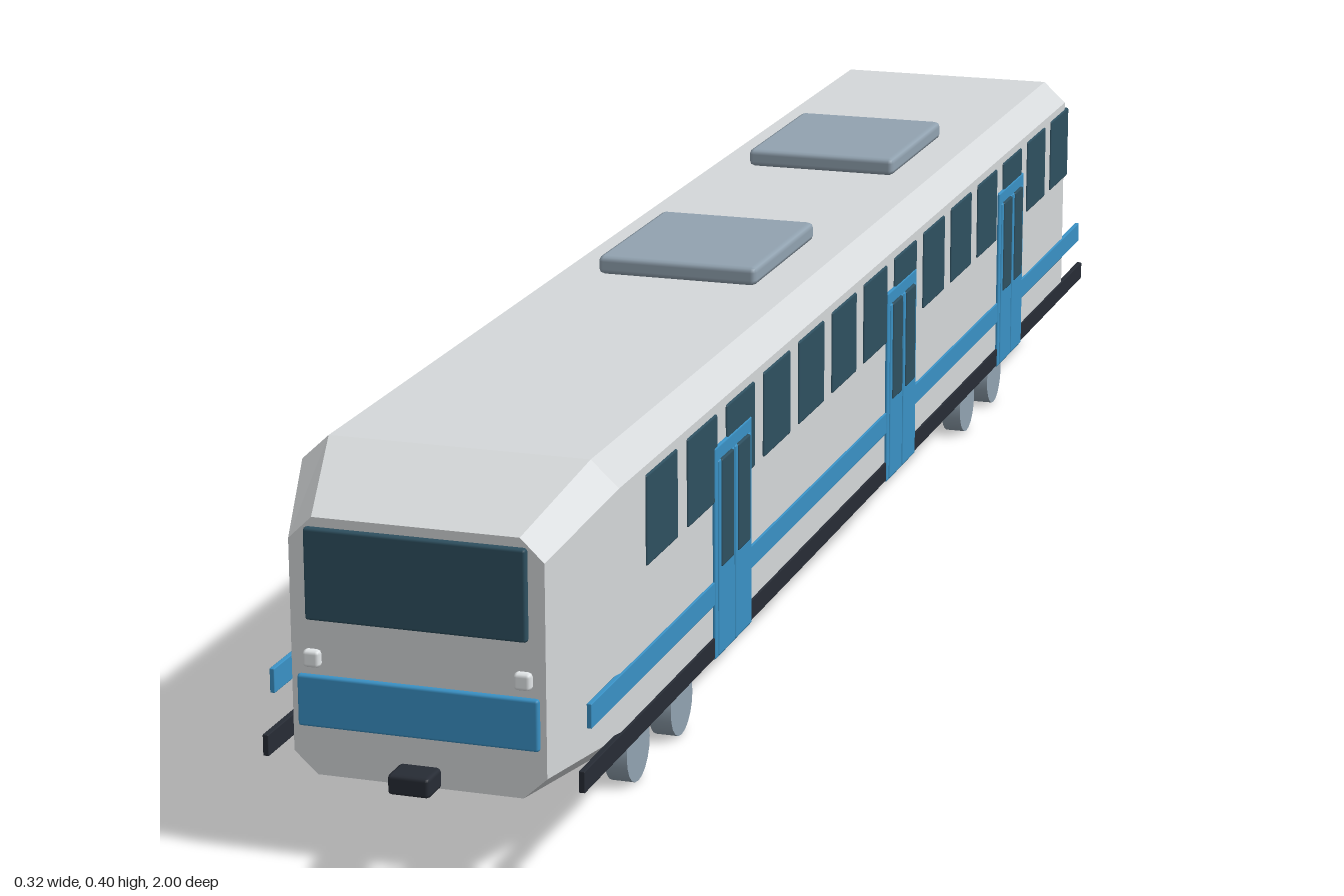
import * as THREE from 'three';
import { RoundedBoxGeometry } from 'three/addons/geometries/RoundedBoxGeometry.js';

const mat = (color, extra = {}) => new THREE.MeshStandardMaterial({ color, ...extra });
const shell = mat(0xd5d8da, { flatShading: true });
const glass = mat(0x2e5060);
const blue = mat(0x3a92c6);
const steel = mat(0x92a3b1);
const dark = mat(0x272c35);
const white = mat(0xe4e8ea);
const red = mat(0xb02a2a);

// Box with slightly softened edges, placed by its centre
function box(parent, name, material, size, pos, bevel = 0.003) {
  const r = Math.min(bevel, Math.min(...size) * 0.45);
  const mesh = new THREE.Mesh(new RoundedBoxGeometry(...size, 1, r), material);
  mesh.name = name;
  mesh.position.set(...pos);
  parent.add(mesh);
  return mesh;
}

// Octagonal body section, counter-clockwise seen from +z
function section(z, side, roof, top, shoulder, sill, floor) {
  const half = [[floor, 0.085], [side, sill], [side, shoulder], [roof, top]];
  const other = half.map(([x, y]) => [-x, y]).reverse();
  return [...half, ...other].map(([x, y]) => [x, y, z]);
}

// Body shell lofted through four sections, tapered at both ends
function bodyGeometry() {
  const end = z => section(z, 0.123, 0.1, 0.332, 0.31, 0.106, 0.1);
  const mid = z => section(z, 0.155, 0.128, 0.375, 0.35, 0.112, 0.125);
  const rings = [end(-0.97), mid(-0.86), mid(0.86), end(0.97)];
  const out = [];
  const tri = (...pts) => pts.forEach(p => out.push(...p));
  for (let k = 0; k < 3; k++) {
    for (let i = 0; i < 8; i++) {
      const j = (i + 1) % 8;
      const a = rings[k][i], b = rings[k][j], c = rings[k + 1][j], d = rings[k + 1][i];
      tri(a, b, c);
      tri(a, c, d);
    }
  }
  for (let i = 1; i < 7; i++) {
    tri(rings[3][0], rings[3][i], rings[3][i + 1]);
    tri(rings[0][0], rings[0][i + 1], rings[0][i]);
  }
  const g = new THREE.BufferGeometry();
  g.setAttribute('position', new THREE.Float32BufferAttribute(out, 3));
  g.computeVertexNormals();
  return g;
}

function door(parent, s, z) {
  const g = new THREE.Group();
  g.name = 'door';
  g.position.set(s * 0.155, 0, z);
  parent.add(g);
  box(g, 'doorFrame', blue, [0.006, 0.216, 0.118], [0, 0.201, 0], 0.002);
  for (const k of [-1, 1]) {
    box(g, 'doorLeaf', blue, [0.009, 0.2, 0.05], [0, 0.195, k * 0.0265], 0.002);
    box(g, 'doorGlass', glass, [0.012, 0.11, 0.038], [0, 0.24, k * 0.0265], 0.002);
  }
}

// Windows, doors and trim of one side
function sideTrim(parent, s) {
  const g = new THREE.Group();
  g.name = s > 0 ? 'leftSide' : 'rightSide';
  parent.add(g);
  for (let i = 0; i < 14; i++) {
    box(g, 'window', glass, [0.006, 0.088, 0.09], [s * 0.154, 0.297, 0.742 - i * 0.1208], 0.002);
  }
  box(g, 'stripe', blue, [0.005, 0.024, 1.89], [s * 0.1545, 0.161, 0], 0.001);
  box(g, 'skirt', dark, [0.006, 0.021, 1.93], [s * 0.154, 0.105, 0], 0.001);
  for (const z of [0.528, -0.086, -0.579]) door(g, s, z);
}

// Windscreen, panel, lamps and coupler of one end
function endTrim(parent, s) {
  const g = new THREE.Group();
  g.name = s > 0 ? 'frontEnd' : 'backEnd';
  parent.add(g);
  box(g, 'windscreen', glass, [0.214, 0.088, 0.012], [0, 0.279, s * 0.97]);
  box(g, 'endPanel', blue, [0.234, 0.05, 0.01], [0, 0.157, s * 0.97]);
  for (const x of [-0.102, 0.102]) {
    box(g, s > 0 ? 'headlight' : 'tailLight', s > 0 ? white : red,
      [0.017, 0.017, 0.014], [x, 0.198, s * 0.97], 0.004);
  }
  box(g, 'coupler', dark, [0.041, 0.02, 0.05], [0, 0.095, s * 0.975], 0.004);
}

function cylinder(parent, name, radius, height, pos, alongX) {
  const mesh = new THREE.Mesh(new THREE.CylinderGeometry(radius, radius, height, 20), steel);
  mesh.name = name;
  mesh.position.set(...pos);
  if (alongX) mesh.rotation.z = Math.PI / 2;
  parent.add(mesh);
}

function bogie(parent, z) {
  const g = new THREE.Group();
  g.name = 'bogie';
  g.position.z = z;
  parent.add(g);
  box(g, 'bogieFrame', dark, [0.214, 0.024, 0.2], [0, 0.048, 0], 0.006);
  for (const x of [-1, 1]) {
    cylinder(g, 'suspension', 0.018, 0.03, [x * 0.107, 0.073, 0], false);
    for (const k of [-1, 1]) cylinder(g, 'wheel', 0.034, 0.023, [x * 0.101, 0.034, k * 0.066], true);
  }
}

export function createModel() {
  const model = new THREE.Group();
  model.name = 'railCar';

  const body = new THREE.Mesh(bodyGeometry(), shell);
  body.name = 'body';
  model.add(body);

  for (const s of [1, -1]) {
    sideTrim(model, s);
    endTrim(model, s);
  }

  // Roof equipment
  for (const z of [0.126, -0.4]) {
    box(model, 'roofUnit', steel, [0.174, 0.02, 0.214], [0, 0.386, z], 0.006);
  }

  // Underframe and running gear
  box(model, 'underfloorBox', steel, [0.18, 0.026, 0.85], [0, 0.073, -0.114], 0.004);
  for (const z of [0.623, -0.618]) bogie(model, z);

  return model;
}
